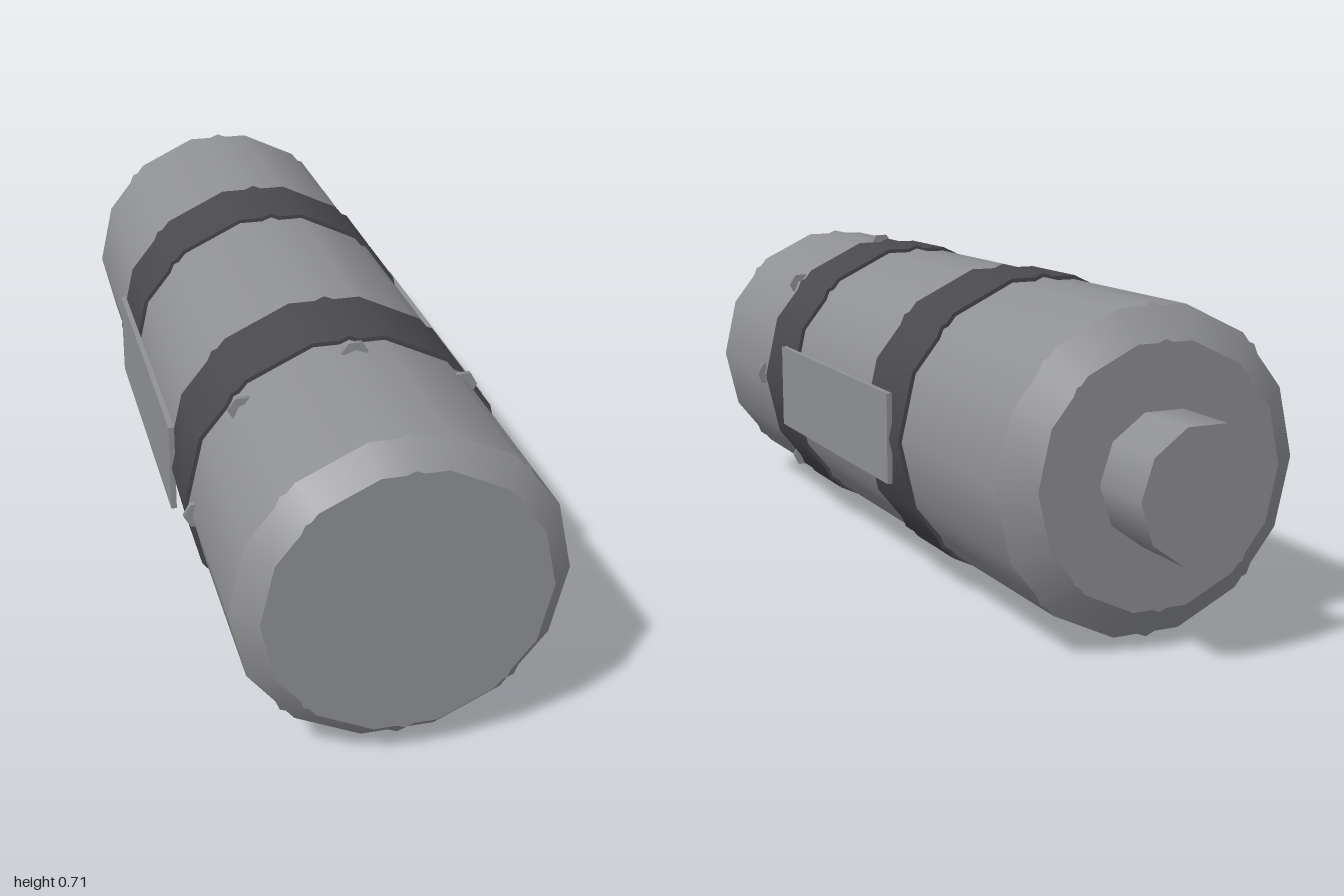
import * as THREE from 'three';

const CENTRE_Y = 0.354;

// Cross-section: a 14-sided outline with small ridges at every 45 degrees.
const QUARTER = [0, 25.71, 41.31, 45, 47.09, 51.43, 77.14, 86.44, 90];
const ANGLES = [
  ...QUARTER,
  ...QUARTER.slice(0, -1).reverse().map(a => 180 - a),
];
const FULL = [...ANGLES, ...ANGLES.slice(1, -1).map(a => a + 180)].map(THREE.MathUtils.degToRad);

function polygonRadius(angle, sides) {
  const step = (Math.PI * 2) / sides;
  const offset = angle - Math.floor(angle / step + 1e-6) * step - step / 2;
  return Math.cos(step / 2) / Math.cos(offset);
}

// Straight or tapered length of the ridged tube between two z positions.
function section(rFront, rBack, zFront, zBack, open = false) {
  const n = FULL.length;
  const geo = new THREE.CylinderGeometry(rFront, rBack, zFront - zBack, n, 1, open);
  geo.rotateX(Math.PI / 2);
  const pos = geo.attributes.position, normal = geo.attributes.normal;
  for (let i = 0; i < pos.count; i++) {
    const x = pos.getX(i), y = pos.getY(i), r = Math.hypot(x, y);
    if (r < 1e-6) continue;
    const k = (Math.round((Math.atan2(y, x) / (Math.PI * 2)) * n) + n) % n;
    const a = FULL[k];
    const scaled = r * Math.max(polygonRadius(a, 14), polygonRadius(a, 8));
    pos.setXY(i, Math.cos(a) * scaled, Math.sin(a) * scaled);
    const side = Math.hypot(normal.getX(i), normal.getY(i));
    if (side > 1e-3) normal.setXY(i, Math.cos(a) * side, Math.sin(a) * side);
  }
  geo.translate(0, CENTRE_Y, (zFront + zBack) / 2);
  return geo;
}

export function createModel() {
  const model = new THREE.Group();
  model.name = 'canister';
  const grey = new THREE.MeshStandardMaterial({ color: 0x909194 });
  grey.name = 'metal grey';
  const dark = new THREE.MeshStandardMaterial({ color: 0x4a494d });
  dark.name = 'dark band';

  const add = (name, geometry, material, x = 0, y = 0, z = 0) => {
    const mesh = new THREE.Mesh(geometry, material);
    mesh.name = name;
    mesh.position.set(x, y, z);
    model.add(mesh);
    return mesh;
  };

  // Main tube with bevelled ends
  add('body', section(0.338, 0.338, 0.95, -0.8, true), grey);
  add('frontBevel', section(0.288, 0.338, 1, 0.95), grey);
  add('backBevel', section(0.338, 0.272, -0.8, -0.85), grey);

  // Ten-sided stub at the back
  const stub = new THREE.CylinderGeometry(0.14, 0.14, 0.16, 10);
  stub.rotateZ(Math.PI / 2).rotateY(Math.PI / 2).rotateZ(Math.PI / 2);
  // put a corner on each side
  stub.rotateZ(Math.atan2(stub.attributes.position.getX(0), stub.attributes.position.getY(0)) + Math.PI / 2);
  add('backStub', stub, grey, 0, CENTRE_Y, -0.92);

  // Dark clamping bands
  add('frontBand', section(0.347, 0.347, 0.55, 0.35), dark);
  add('backBand', section(0.347, 0.347, -0.15, -0.35), dark);

  // Flat plates on both sides
  for (const [name, s] of [['leftPlate', 1], ['rightPlate', -1]]) {
    add(name, new THREE.BoxGeometry(0.012, 0.2, 0.7), grey, s * 0.345, CENTRE_Y, 0.05);
  }

  // Ring of small six-sided studs
  const stud = new THREE.CylinderGeometry(0.03, 0.03, 0.01, 6);
  stud.rotateY(Math.PI / 6).rotateX(Math.PI / 2);
  for (let i = 0; i < 8; i++) {
    const a = (i * Math.PI) / 4;
    add('stud', stud, grey, Math.cos(a) * 0.327, CENTRE_Y + Math.sin(a) * 0.327, 0.593);
  }
  return model;
}
